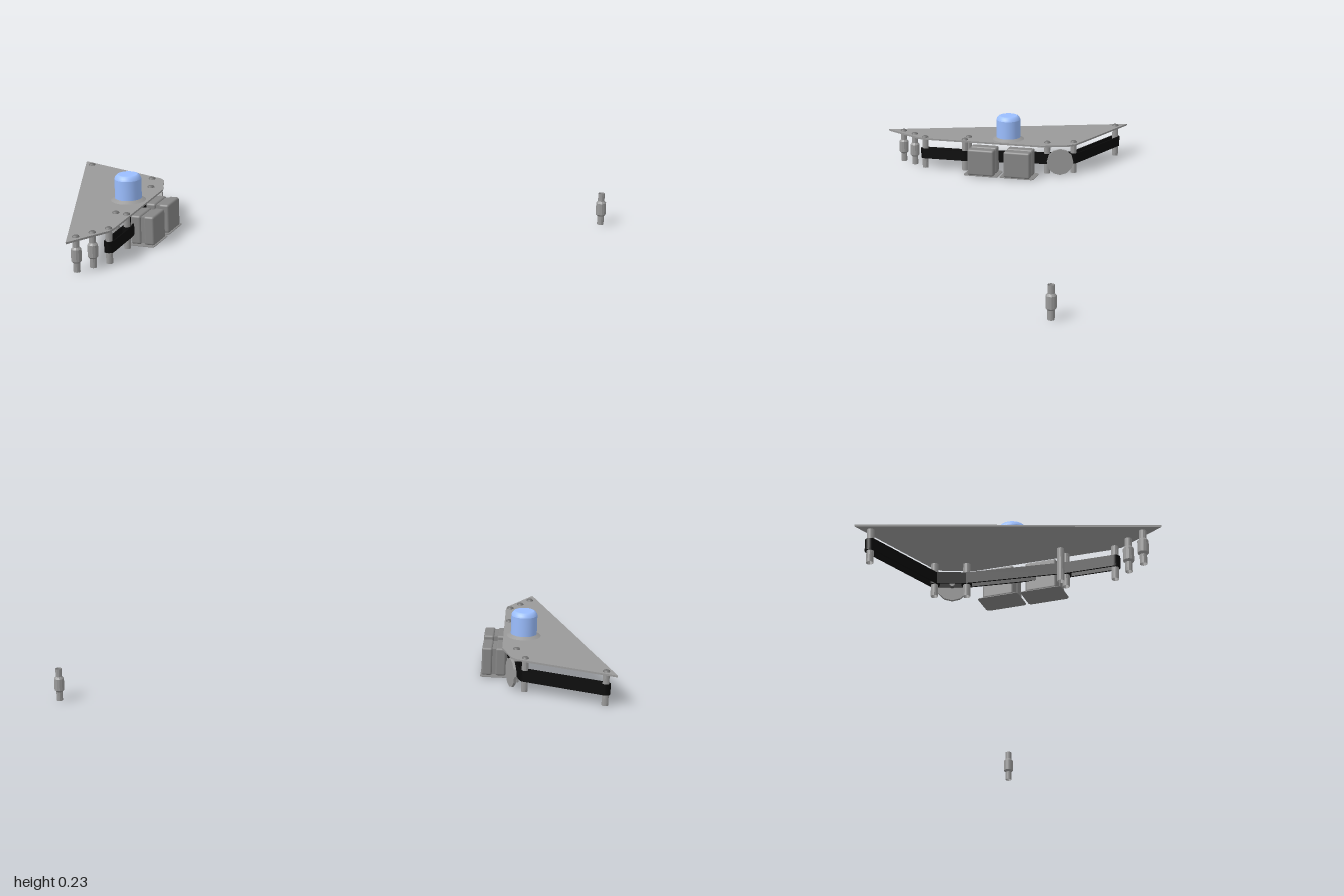
import * as THREE from 'three';
import { RoundedBoxGeometry } from 'three/addons/geometries/RoundedBoxGeometry.js';

const mat = (color, extra = {}) => new THREE.MeshStandardMaterial({ color, ...extra });
const grey = mat(0x9a9a9a);
const greyThin = mat(0x9a9a9a, { side: THREE.DoubleSide, flatShading: true });
const blockGrey = mat(0x868686);
const screwGrey = mat(0x707070);
const black = mat(0x0a0a0a);
const blue = mat(0x9bbeff);

// Post positions [x, z] under the deck
const A = [-0.975, -0.455], B = [-0.73, -0.25], C = [-0.73, -0.14];
const D = [-0.805, 0.197], E = [-0.845, 0.178], F = [-0.86, 0.36];
const G = [-0.915, 0.402], H = [-0.97, 0.447];

function add(parent, name, geometry, material, x = 0, y = 0, z = 0) {
  const m = new THREE.Mesh(geometry, material);
  m.name = name;
  m.position.set(x, y, z);
  parent.add(m);
  return m;
}

// Extrude an x/z outline upwards
function slab(shape, height) {
  return new THREE.ExtrudeGeometry(shape, { depth: height, bevelEnabled: false, curveSegments: 8 }).rotateX(-Math.PI / 2);
}

function lathe(points, sides) {
  return new THREE.LatheGeometry(points.map(p => new THREE.Vector2(...p)), sides);
}

// Outline of a band stretched around two round posts
function stadium(path, length, r) {
  path.absarc(length, 0, r, -Math.PI / 2, Math.PI / 2, false);
  path.absarc(0, 0, r, Math.PI / 2, Math.PI * 1.5, false);
  path.closePath();
  return path;
}

function band(parent, p, q) {
  const dx = q[0] - p[0], dz = q[1] - p[1], length = Math.hypot(dx, dz);
  const shape = stadium(new THREE.Shape(), length, 0.018);
  shape.holes.push(stadium(new THREE.Path(), length, 0.0122));
  const m = add(parent, 'rubberBand', slab(shape, 0.041), black, p[0], 0.043, p[1]);
  m.rotation.y = Math.atan2(-dz, dx);
}

// Rectangle with rounded corners, centred
function roundedRect(w, h, r) {
  const s = new THREE.Shape(), x = w / 2 - r, y = h / 2 - r;
  s.absarc(x, y, r, 0, Math.PI / 2);
  s.absarc(-x, y, r, Math.PI / 2, Math.PI);
  s.absarc(-x, -y, r, Math.PI, Math.PI * 1.5);
  s.absarc(x, -y, r, Math.PI * 1.5, Math.PI * 2);
  return s;
}

// Square block of two rounded halves around a slimmer core, on a thin flange
function block(parent, x, z) {
  const g = new THREE.Group();
  g.name = 'sideBlock';
  g.position.set(x, 0.06, z);
  g.rotation.y = -0.345;
  for (const s of [-1, 1]) {
    add(g, 'blockHalf', new RoundedBoxGeometry(0.04, 0.11, 0.112, 2, 0.008), blockGrey, s * 0.026, 0, 0);
  }
  add(g, 'blockCore', new THREE.BoxGeometry(0.03, 0.1, 0.1), blockGrey);
  add(g, 'blockFlange', slab(roundedRect(0.1, 0.145, 0.012), 0.002), blockGrey, 0, -0.056, 0);
  parent.add(g);
}

export function createModel() {
  const model = new THREE.Group();
  model.name = 'sensorDeck';

  // Flat deck plate
  const outline = [[-1, -0.508], [-0.695, -0.253], [-0.683, -0.225], [-0.683, -0.11],
    [-0.84, 0.355], [-0.855, 0.385], [-1, 0.508]];
  const shape = new THREE.Shape(outline.map(([x, z]) => new THREE.Vector2(x, -z)));
  add(model, 'deckPlate', slab(shape, 0.007), grey, 0, 0.123, 0);

  // Plain posts, and spacers with a thicker middle (one stands alone)
  const plain = lathe([[0.0125, 0], [0.0125, 0.123]], 12);
  const spacer = lathe([[0.0125, 0], [0.0125, 0.034], [0.019, 0.041], [0.019, 0.085],
    [0.0125, 0.093], [0.0125, 0.123]], 12);
  for (const [x, z] of [A, B, C, D, E, F]) add(model, 'post', plain, greyThin, x, 0, z);
  for (const [x, z] of [G, H, [0.98, 0.01]]) add(model, 'spacerPost', spacer, greyThin, x, 0, z);

  // Screw heads over the posts
  const head = lathe([[0.0135, 0], [0.012, 0.004], [0.007, 0.007], [0, 0.008]], 12);
  for (const [x, z] of [A, B, C, D, E, F, G, H]) add(model, 'screwHead', head, screwGrey, x, 0.13, z);

  // Dark bands linking the posts
  for (const [p, q] of [[A, B], [B, C], [C, D], [D, F]]) band(model, p, q);

  // Blocks along the slanted side
  block(model, -0.682, -0.019);
  block(model, -0.732, 0.126);

  // Upright disc with its hub
  add(model, 'disc', new THREE.CylinderGeometry(0.055, 0.055, 0.01, 12).rotateZ(Math.PI / 2), greyThin, -0.695, 0.056, -0.19);
  add(model, 'discHub', new THREE.CylinderGeometry(0.01, 0.01, 0.03, 10).rotateZ(Math.PI / 2), grey, -0.705, 0.056, -0.19);

  // Blue domed sensor on a flared foot
  const cx = -0.807, cz = 0.015;
  add(model, 'sensorFoot', new THREE.CylinderGeometry(0.05, 0.065, 0.009, 32), grey, cx, 0.1345, cz);
  add(model, 'sensorDome', lathe([[0, 0], [0.05, 0], [0.05, 0], [0.05, 0.074], [0.05, 0.074], [0.047, 0.082],
    [0.041, 0.089], [0.036, 0.091], [0.036, 0.091], [0, 0.091]], 32), blue, cx, 0.139, cz);

  return model;
}
